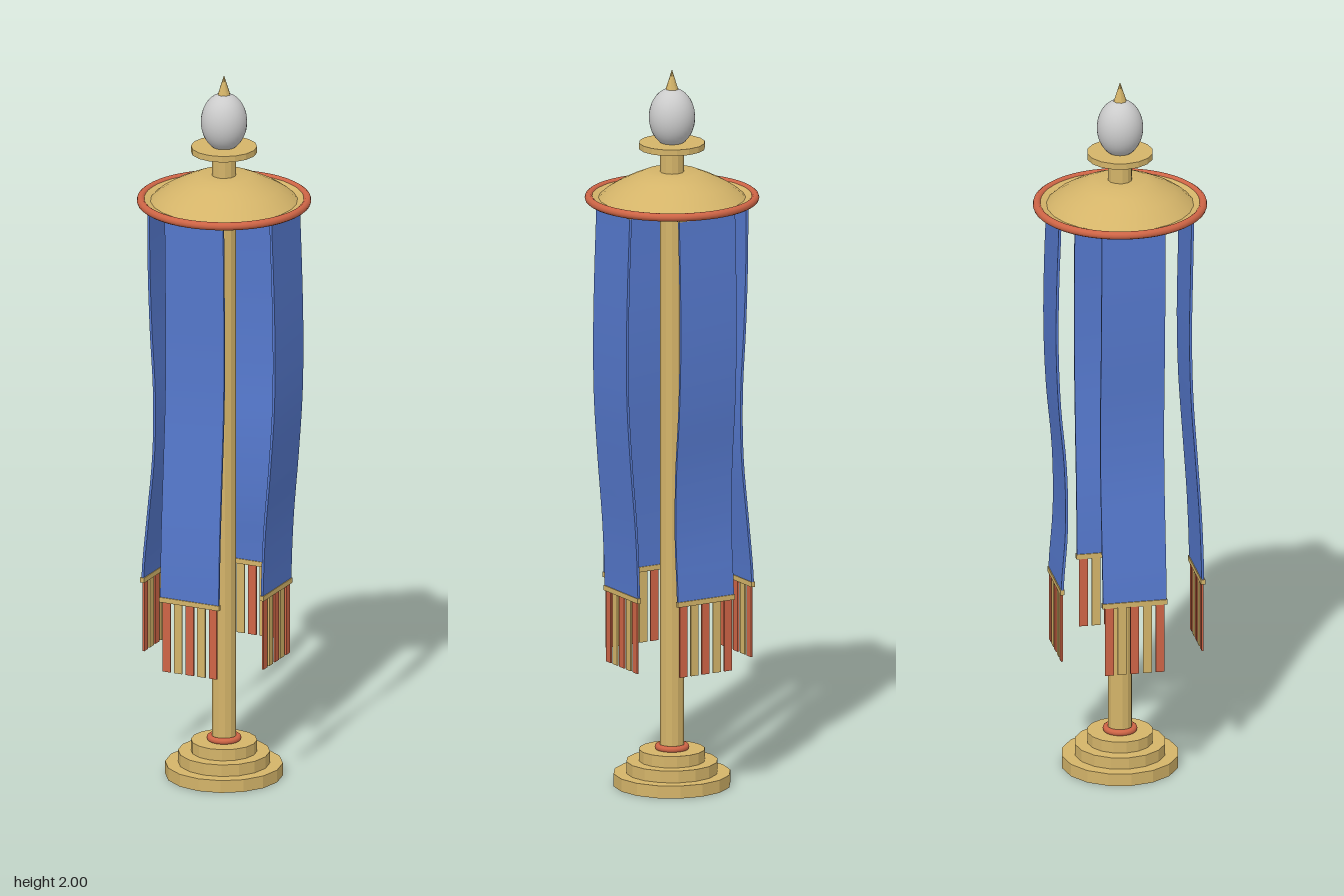
import * as THREE from 'three';
import { toCreasedNormals } from 'three/addons/utils/BufferGeometryUtils.js';

const material = (color, side = THREE.FrontSide) => new THREE.MeshStandardMaterial({ color, side });

export function createModel() {
  const model = new THREE.Group();
  const gold = material(0xd4b469);
  const goldSheet = material(0xd4b469, THREE.DoubleSide);
  const red = material(0xcf6546);
  const blue = material(0x5578cc);
  const grey = material(0xcccccc);

  const add = (name, geometry, mat, parent = model, x = 0, y = 0, z = 0) => {
    const mesh = new THREE.Mesh(geometry, mat);
    mesh.name = name;
    mesh.position.set(x, y, z);
    parent.add(mesh);
    return mesh;
  };
  // Upright faceted cylinder between two heights
  const drum = (name, radius, y0, y1, sides) => add(name,
    toCreasedNormals(new THREE.CylinderGeometry(radius, radius, y1 - y0, sides), 0.3),
    gold, model, 0, (y0 + y1) / 2, 0);
  const ring = (name, radius, tube, y) => add(name,
    new THREE.TorusGeometry(radius, tube, 10, 48).rotateX(Math.PI / 2), red, model, 0, y, 0);

  // Stepped base and pole
  drum('baseLower', 0.16, 0, 0.035, 16);
  drum('baseMiddle', 0.125, 0.035, 0.068, 16);
  drum('baseUpper', 0.09, 0.068, 0.1, 16);
  ring('baseRing', 0.038, 0.009, 0.106);
  drum('pole', 0.033, 0.1, 1.785, 12);
  drum('canopyCollar', 0.04, 1.625, 1.64, 12);

  // Domed canopy with a slightly upturned brim and a red rim
  const profile = [[0.03, 1.715], [0.075, 1.715], [0.11, 1.7], [0.15, 1.68], [0.18, 1.661], [0.2, 1.643], [0.225, 1.65]]
    .map(([r, y]) => new THREE.Vector2(r, y)).reverse();
  add('canopy', toCreasedNormals(new THREE.LatheGeometry(profile, 24), 0.6), goldSheet);
  ring('canopyRim', 0.226, 0.011, 1.643);

  // Finial
  drum('finialPlate', 0.09, 1.78, 1.797, 16);
  add('finialGlobe', new THREE.SphereGeometry(0.063, 32, 20).scale(1, 1.29, 1), grey, model, 0, 1.867, 0);
  add('finialSpike', new THREE.ConeGeometry(0.021, 0.065, 8), gold, model, 0, 1.9675, 0);

  // Hanging banners: distance from the pole at even steps from top to bottom
  const top = 1.635, bottom = 0.555;
  const banners = [
    ['frontBanner', 0, [0.184, 0.181, 0.178, 0.182, 0.194, 0.206, 0.212]],
    ['leftBanner', 1, [0.183, 0.189, 0.193, 0.191, 0.179, 0.164, 0.157]],
    ['backBanner', 2, [0.183, 0.189, 0.191, 0.184, 0.168, 0.165, 0.177]],
    ['rightBanner', 3, [0.185, 0.184, 0.178, 0.168, 0.17, 0.187, 0.203]],
  ];
  for (const [name, turn, sway] of banners) {
    const group = new THREE.Group();
    group.name = name;
    group.rotation.y = turn * Math.PI / 2;
    model.add(group);

    const curve = new THREE.SplineCurve(sway.map((d, i) => new THREE.Vector2(d, i)));
    const cloth = new THREE.BoxGeometry(0.176, top - bottom, 0.007, 1, 24, 1);
    const p = cloth.attributes.position;
    for (let i = 0; i < p.count; i++) {
      const t = 0.5 - p.getY(i) / (top - bottom);
      p.setZ(i, p.getZ(i) + curve.getPoint(THREE.MathUtils.clamp(t, 0, 1)).x);
    }
    add('cloth', toCreasedNormals(cloth, 0.6), blue, group, 0, (top + bottom) / 2, 0);

    // Rods at both ends and the fringe of flat tassels
    const end = sway[sway.length - 1];
    add('topRod', new THREE.BoxGeometry(0.18, 0.014, 0.012), gold, group, 0, 1.631, sway[0]);
    add('bottomRod', new THREE.BoxGeometry(0.18, 0.014, 0.012), gold, group, 0, 0.552, end);
    for (let i = -2; i <= 2; i++) {
      add('tassel', new THREE.BoxGeometry(0.024, 0.2, 0.005), i % 2 ? gold : red, group, i * 0.035, 0.447, end);
    }
  }
  return model;
}
